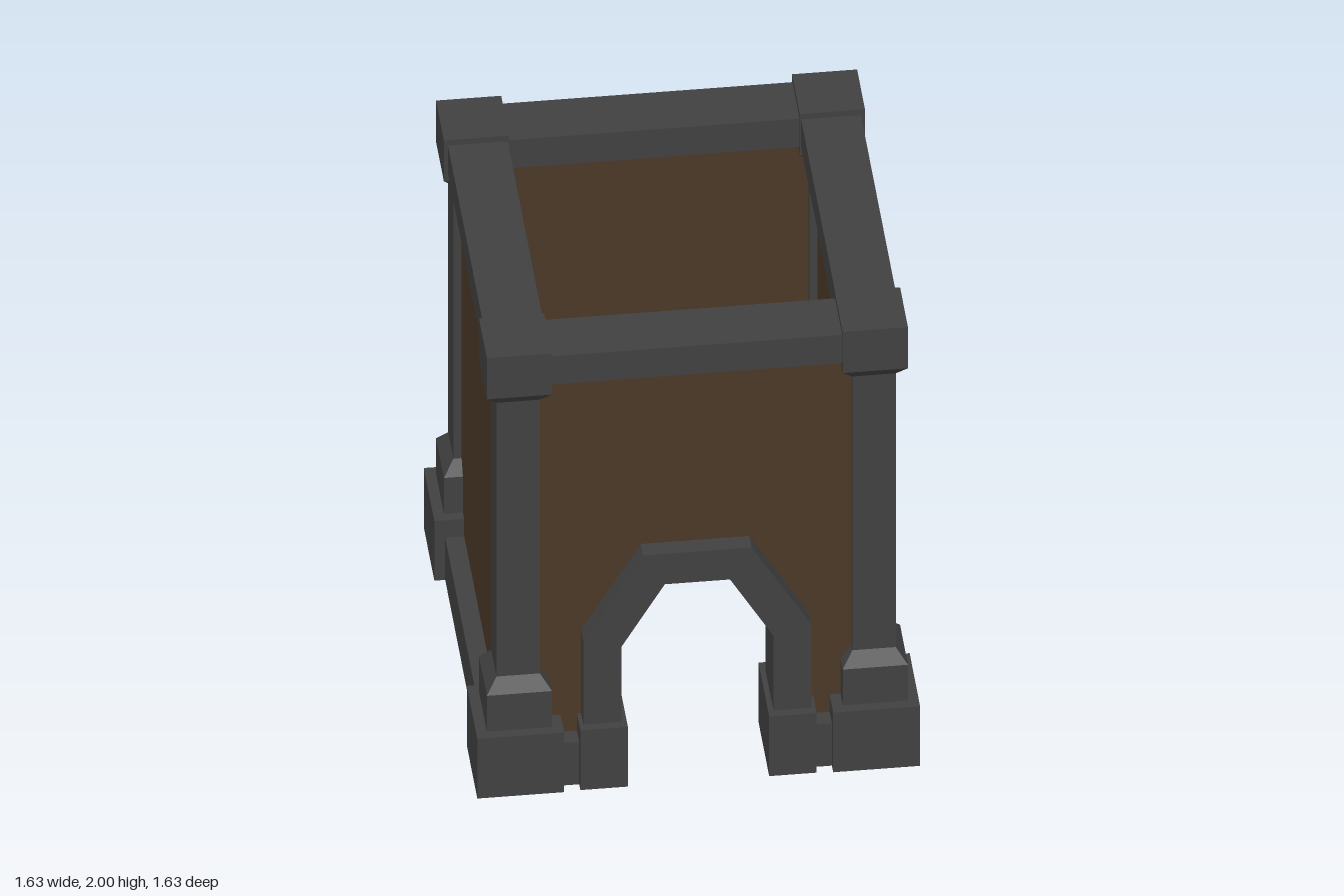
import * as THREE from 'three';

const stone = new THREE.MeshStandardMaterial({ color: 0x404040, flatShading: true, side: THREE.DoubleSide });
const wood = new THREE.MeshStandardMaterial({ color: 0x4a3828, flatShading: true, side: THREE.DoubleSide });

const C = 0.655; // distance of posts and walls from the centre

function add(parent, name, geometry, material, x = 0, y = 0, z = 0) {
  const mesh = new THREE.Mesh(geometry, material);
  mesh.name = name;
  mesh.position.set(x, y, z);
  parent.add(mesh);
  return mesh;
}

// Box given by size and the heights of its bottom and top
function block(parent, name, w, d, y0, y1, x, z, material = stone) {
  return add(parent, name, new THREE.BoxGeometry(w, y1 - y0, d), material, x, (y0 + y1) / 2, z);
}

// The same box with its underside left open
function hollowBlock(...args) {
  const mesh = block(...args);
  const index = Array.from(mesh.geometry.index.array);
  index.splice(18, 6);
  mesh.geometry.setIndex(index);
  return mesh;
}

// Four-sided taper between two square widths
function taper(parent, name, bottom, top, y0, y1) {
  const k = Math.SQRT1_2;
  const g = new THREE.CylinderGeometry(top * k, bottom * k, y1 - y0, 4, 1, true).rotateY(Math.PI / 4);
  return add(parent, name, g, stone, 0, (y0 + y1) / 2, 0);
}

function cornerPost(x, z) {
  const post = new THREE.Group();
  post.name = 'cornerPost';
  post.position.set(x, 0, z);
  block(post, 'postFoot', 0.32, 0.32, 0, 0.275, 0, 0);
  block(post, 'postPlinth', 0.24, 0.24, 0.275, 0.44, 0, 0);
  taper(post, 'plinthBevel', 0.24, 0.16, 0.44, 0.495);
  block(post, 'postShaft', 0.16, 0.16, 0.44, 1.81, 0, 0);
  taper(post, 'capitalBevel', 0.16, 0.24, 1.76, 1.81);
  block(post, 'capital', 0.24, 0.24, 1.81, 2, 0, 0);
  return post;
}

// Flat outline extruded along z and centred on a given z
function slab(parent, name, points, depth, z, material) {
  const shape = new THREE.Shape(points.map(([x, y]) => new THREE.Vector2(x, y)));
  const g = new THREE.ExtrudeGeometry(shape, { depth, bevelEnabled: false });
  return add(parent, name, g, material, 0, 0, z - depth / 2);
}

// Half an outline on +x completed by its mirror image
const mirrored = (half) => [...half, ...half.map(([x, y]) => [-x, y]).reverse()];

export function createModel() {
  const model = new THREE.Group();
  model.name = 'tower';

  for (const x of [-C, C]) for (const z of [-C, C]) model.add(cornerPost(x, z));

  // Each side: top beam, and all but the front get a plain wall and base beam
  for (let i = 0; i < 4; i++) {
    const side = new THREE.Group();
    side.name = ['frontSide', 'leftSide', 'backSide', 'rightSide'][i];
    side.rotation.y = i * Math.PI / 2;
    block(side, 'topBeam', 1.08, 0.22, 1.845, 1.975, 0, 0.65);
    if (i > 0) {
      block(side, 'wall', i === 2 ? 1.3 : 1.2, 0.1, 0.03, 1.9, 0, C, wood);
      hollowBlock(side, 'baseBeam', 1.0, 0.25, 0, 0.195, 0, 0.65);
    }
    model.add(side);
  }

  // Front wall with the doorway cut out
  const opening = [[0.35, 0.03], [0.35, 0.64], [0.16, 0.965]];
  const outer = [[-0.65, 0.03], [-0.65, 1.9], [0.65, 1.9], [0.65, 0.03]];
  slab(model, 'frontWall', [...outer, ...mirrored(opening)], 0.1, C, wood);

  // Faceted stone arch around the doorway
  const archOuter = [[0.42, 0.03], [0.42, 0.66], [0.2, 1.035]];
  const archInner = [[0.28, 0.03], [0.28, 0.62], [0.12, 0.895]];
  slab(model, 'doorArch', [...mirrored(archOuter), ...mirrored(archInner).reverse()], 0.25, 0.65, stone);

  // Arch feet and the short base beams beside them
  for (const s of [-1, 1]) {
    hollowBlock(model, 'archFoot', 0.175, 0.325, 0, 0.275, s * 0.3475, 0.6475);
    hollowBlock(model, 'frontBaseBeam', 0.08, 0.25, 0, 0.195, s * 0.465, 0.65);
  }
  return model;
}
